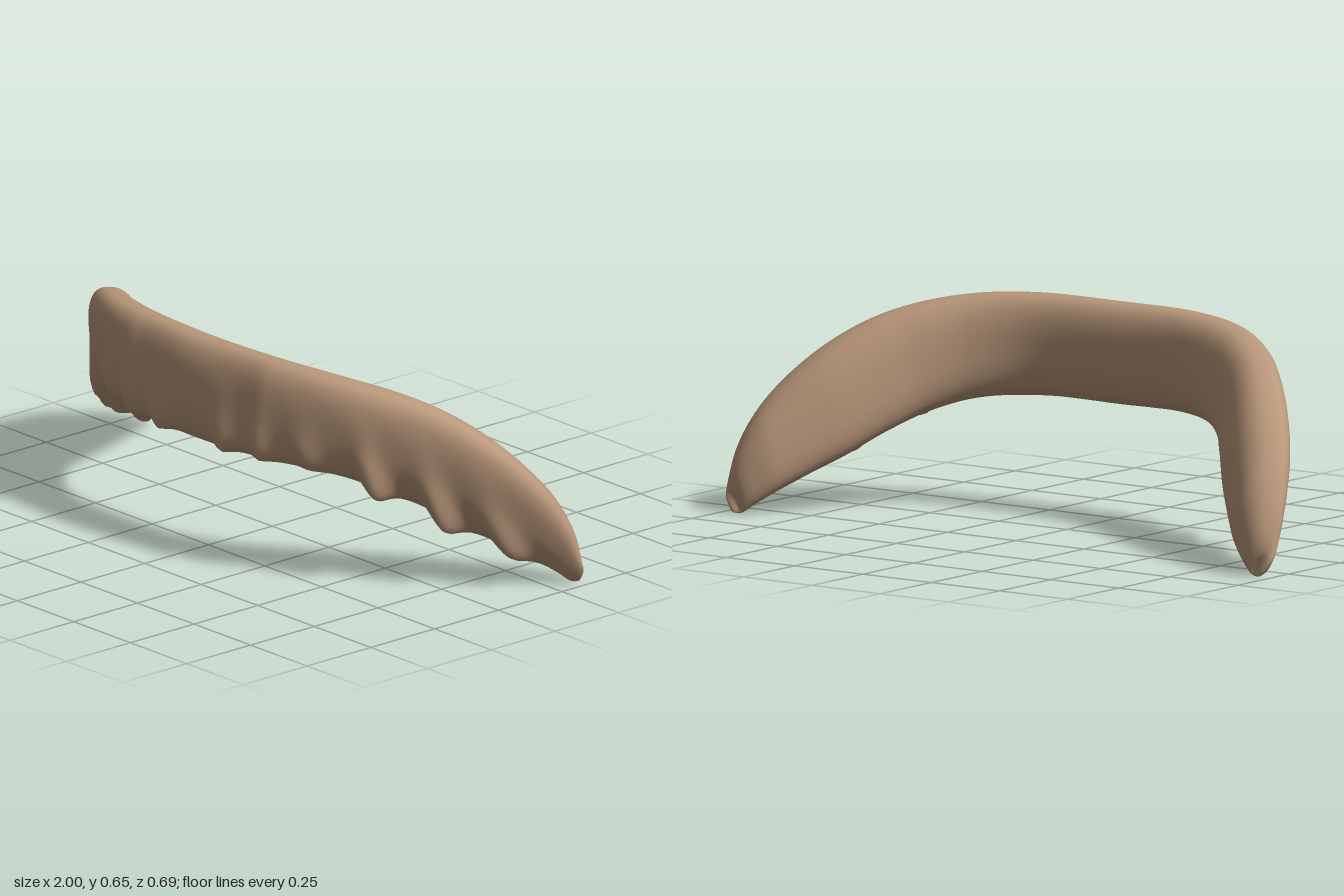
import * as THREE from 'three';

// Half of the strand, centre to tip: top point, bottom point, front and back half thickness
const STATIONS = [
  [0, 0.652, 0.25, 0, 0.345, 0.27, 0.07, 0.082],
  [0.28, 0.652, 0.235, 0.27, 0.347, 0.25, 0.07, 0.082],
  [0.48, 0.637, 0.175, 0.45, 0.333, 0.165, 0.075, 0.082],
  [0.62, 0.605, 0.085, 0.57, 0.29, 0.07, 0.08, 0.082],
  [0.72, 0.56, 0, 0.65, 0.237, -0.02, 0.08, 0.085],
  [0.81, 0.49, -0.09, 0.73, 0.172, -0.11, 0.08, 0.09],
  [0.89, 0.395, -0.18, 0.81, 0.115, -0.2, 0.075, 0.085],
  [0.945, 0.29, -0.26, 0.87, 0.07, -0.265, 0.065, 0.075],
  [0.978, 0.18, -0.312, 0.915, 0.032, -0.31, 0.048, 0.052],
  [0.988, 0.08, -0.336, 0.945, 0.007, -0.335, 0.027, 0.027],
  [0.972, 0.025, -0.348, 0.962, 0.008, -0.348, 0.004, 0.004],
];

// Locks along the lower front edge: x, width, outward push, drop
const LOCKS = [
  [0.14, 0.045, 0.022, 0.022],
  [0.28, 0.04, 0.018, 0.015],
  [0.43, 0.045, 0.016, 0.012],
  [0.6, 0.035, 0.026, 0.045],
  [0.735, 0.036, 0.025, 0.055],
  [0.86, 0.04, 0.022, 0.04],
];

const RINGS = 280;
const SIDES = 56;

// Mirrored spline through three columns of the station table
function stationCurve(col, mirrorSign) {
  const half = STATIONS.map((s) => new THREE.Vector3(s[col], s[col + 1], s[col + 2] ?? 0));
  const other = half.slice(1).reverse().map((p) => new THREE.Vector3(p.x * mirrorSign, p.y, p.z));
  return new THREE.CatmullRomCurve3([...other, ...half]);
}

const bell = (d, w) => Math.exp(-((d / w) ** 2));
const soften = (v, e) => Math.sign(v) * Math.abs(v) ** e;

function hairBandGeometry() {
  const topLine = stationCurve(0, -1);
  const bottomLine = stationCurve(3, -1);
  const thickness = stationCurve(6, 1);
  const positions = [];
  const index = [];

  for (let i = 0; i <= RINGS; i++) {
    const t = i / RINGS;
    const top = topLine.getPoint(t);
    const bottom = bottomLine.getPoint(t);
    const { x: front, y: back } = thickness.getPoint(t);
    const centre = top.clone().add(bottom).multiplyScalar(0.5);
    const up = top.clone().sub(bottom).multiplyScalar(0.5);

    // Horizontal direction facing out of the curve
    const a = Math.max(0, t - 0.01), b = Math.min(1, t + 0.01);
    const along = topLine.getPoint(b).add(bottomLine.getPoint(b))
      .sub(topLine.getPoint(a)).sub(bottomLine.getPoint(a));
    const out = new THREE.Vector3(-along.z, 0, along.x).normalize();
    const fade = Math.min(1, front / 0.06);

    for (let j = 0; j < SIDES; j++) {
      const angle = -Math.PI + (j / SIDES) * Math.PI * 2;
      const c = soften(Math.cos(angle), 0.8);
      const s = soften(Math.sin(angle), 0.8);
      const p = centre.clone()
        .addScaledVector(out, c * (c > 0 ? front : back))
        .addScaledVector(up, s);

      // Lock ridges fade upward from the lower front edge
      const ridge = bell(angle + 0.65, 0.55) * fade;
      const tip = bell(angle + 0.85, 0.4) * fade;
      const x = Math.abs(p.x);
      let push = 0, drop = 0;
      for (const [lx, width, o, d] of LOCKS) {
        push += o * bell(x - lx, width);
        drop += d * bell(x - lx, width * 0.8);
      }
      p.addScaledVector(out, push * ridge);
      p.y = Math.max(0, p.y - drop * tip);
      positions.push(p.x, p.y, p.z);

      if (i < RINGS) {
        const k = (j + 1) % SIDES;
        const p0 = i * SIDES + j, p1 = i * SIDES + k;
        index.push(p0, p0 + SIDES, p1, p1, p0 + SIDES, p1 + SIDES);
      }
    }
  }

  // Close both tips
  for (let j = 1; j < SIDES - 1; j++) {
    const e = RINGS * SIDES;
    index.push(0, j, j + 1, e, e + j + 1, e + j);
  }

  const geometry = new THREE.BufferGeometry();
  geometry.setAttribute('position', new THREE.Float32BufferAttribute(positions, 3));
  geometry.setIndex(index);
  geometry.computeVertexNormals();
  return geometry;
}

export function createModel() {
  const group = new THREE.Group();
  group.name = 'hairFringe';
  const band = new THREE.Mesh(
    hairBandGeometry(),
    new THREE.MeshStandardMaterial({ color: 0xb8977a }),
  );
  band.name = 'curvedHairBand';
  group.add(band);
  return group;
}
